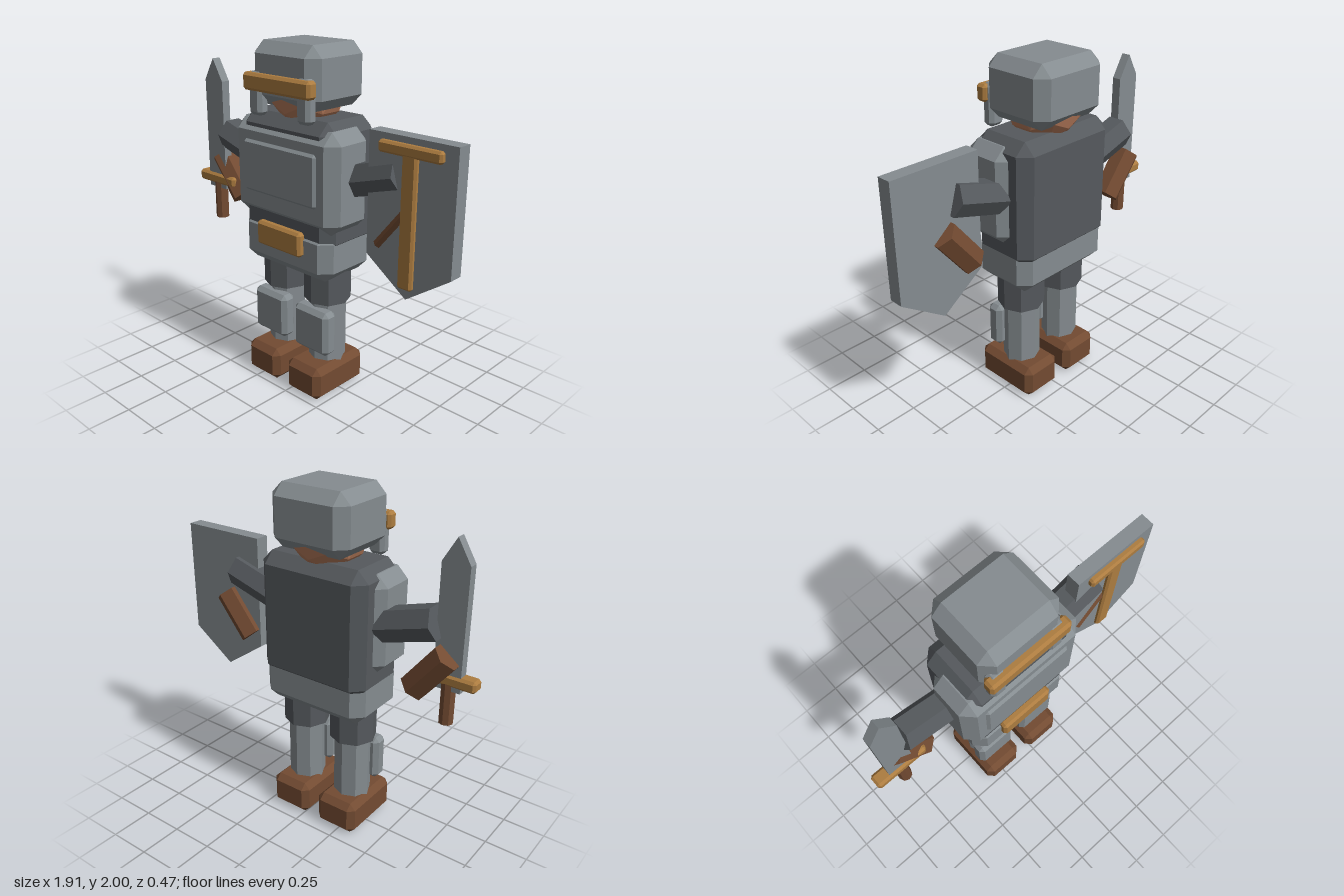
import * as THREE from 'three';
import { ConvexGeometry } from 'three/addons/geometries/ConvexGeometry.js';

const mat = (name, color) => {
  const m = new THREE.MeshStandardMaterial({ color });
  m.name = name;
  return m;
};

// Flat facets
const faceted = (geo) => {
  const g = geo.index ? geo.toNonIndexed() : geo;
  g.computeVertexNormals();
  return g;
};

// Box given by its limits, with all edges and corners chamfered by c
function chamferBox(x0, x1, y0, y1, z0, z1, c) {
  const h = [(x1 - x0) / 2, (y1 - y0) / 2, (z1 - z0) / 2];
  const points = [];
  for (const sx of [-1, 1]) for (const sy of [-1, 1]) for (const sz of [-1, 1]) {
    for (let full = 0; full < 3; full++) {
      const p = [sx, sy, sz].map((s, i) => s * (i === full ? h[i] : h[i] - c));
      points.push(new THREE.Vector3(...p));
    }
  }
  return new ConvexGeometry(points).translate((x0 + x1) / 2, (y0 + y1) / 2, (z0 + z1) / 2);
}

// Straight prism between two points
function rod(a, b, r, sides) {
  const from = new THREE.Vector3(...a), to = new THREE.Vector3(...b);
  const dir = to.clone().sub(from);
  const g = faceted(new THREE.CylinderGeometry(r, r, dir.length(), sides));
  g.applyQuaternion(new THREE.Quaternion().setFromUnitVectors(new THREE.Vector3(0, 1, 0), dir.normalize()));
  const mid = from.add(to).multiplyScalar(0.5);
  return g.translate(mid.x, mid.y, mid.z);
}

// Flat outline with thickness from z0 to z1
function slab(outline, z0, z1) {
  const shape = new THREE.Shape(outline.map(([x, y]) => new THREE.Vector2(x, y)));
  return new THREE.ExtrudeGeometry(shape, { depth: z1 - z0, bevelEnabled: false }).translate(0, 0, z0);
}

export function createModel() {
  const steel = mat('steel', 0x858c90);
  const darkSteel = mat('dark steel', 0x55595d);
  const gold = mat('gold', 0xac7c40);
  const leather = mat('leather', 0x734b32);
  const skin = mat('skin', 0xb57a5a);

  const model = new THREE.Group();
  model.name = 'knight';
  const cx = -0.065; // body centre line

  const add = (parent, name, geo, material) => {
    const m = new THREE.Mesh(geo, material);
    m.name = name;
    parent.add(m);
    return m;
  };
  const group = (name, x = 0) => {
    const g = new THREE.Group();
    g.name = name;
    g.position.x = x;
    model.add(g);
    return g;
  };

  const body = group('body', cx);
  // Head and helmet
  add(body, 'head', faceted(new THREE.IcosahedronGeometry(0.21, 1)).translate(0, 1.74, -0.015), skin);
  add(body, 'helmet', chamferBox(-0.245, 0.245, 1.66, 2, -0.235, 0.2, 0.063), steel);
  add(body, 'browBand', chamferBox(-0.25, 0.25, 1.74, 1.835, 0.17, 0.24, 0.015), gold);

  // Torso and armour
  add(body, 'torso', chamferBox(-0.342, 0.342, 0.9, 1.62, -0.213, 0.19, 0.065), darkSteel);
  add(body, 'breastplate', chamferBox(-0.39, 0.39, 1.02, 1.58, -0.11, 0.21, 0.065), steel);
  add(body, 'chestPanel', chamferBox(-0.275, 0.275, 1.17, 1.465, 0.18, 0.225, 0.015), steel);
  add(body, 'hips', chamferBox(-0.337, 0.337, 0.735, 1.03, -0.2, 0.2, 0.063), steel);
  add(body, 'buckle', chamferBox(-0.17, 0.17, 0.87, 1.01, 0.18, 0.235, 0.015), gold);

  for (const s of [-1, 1]) {
    const side = s > 0 ? 'left' : 'right';
    // Cheek guard
    const ch = s * 0.18;
    add(body, side + 'CheekGuard', chamferBox(ch - 0.048, ch + 0.048, 1.605, 1.84, 0.145, 0.22, 0.02), steel);

    // Leg
    const leg = group(side + 'Leg', cx + s * 0.166);
    add(leg, 'thigh', rod([0, 0.565, 0], [0, 0.82, 0], 0.135, 8), darkSteel);
    add(leg, 'shin', rod([0, 0.15, 0], [0, 0.6, 0], 0.108, 8), steel);
    add(leg, 'shinGuard', chamferBox(-0.13, 0.13, 0.265, 0.535, 0.055, 0.155, 0.026), steel);
    add(leg, 'boot', chamferBox(-0.13, 0.13, 0, 0.2, -0.188, 0.225, 0.036), leather);

    // Arm
    const arm = group(side + 'Arm', cx);
    add(arm, 'upperArm', rod([s * 0.3, 1.29, -0.01], [s * 0.66, 1.396, -0.01], 0.098, 6), darkSteel);
    add(arm, 'gauntlet', rod([s * 0.554, 1.008, -0.02], [s * 0.739, 1.238, -0.02], 0.083, 6), leather);
  }

  // Sword in the right hand
  const sword = group('sword', -0.798);
  add(sword, 'blade', slab([[-0.077, 1.04], [0.077, 1.04], [0.077, 1.71], [0, 1.84], [-0.077, 1.71]], -0.008, 0.045), steel);
  add(sword, 'crossguard', chamferBox(-0.162, 0.162, 1.065, 1.13, -0.02, 0.06, 0.014), gold);
  add(sword, 'grip', rod([0, 0.84, 0.02], [0, 1.08, 0.02], 0.04, 8), leather);

  // Shield on the left arm
  const shield = group('shield', 0.69);
  add(shield, 'shieldBoard', slab([[-0.265, 0.945], [0, 0.76], [0.265, 0.945], [0.265, 1.61], [-0.265, 1.61]], -0.033, 0.05), steel);
  add(shield, 'shieldCrossBar', chamferBox(-0.19, 0.19, 1.515, 1.577, 0.035, 0.082, 0.012), gold);
  add(shield, 'shieldUpright', chamferBox(-0.045, 0.045, 0.82, 1.55, 0.035, 0.075, 0.012), gold);

  return model;
}
